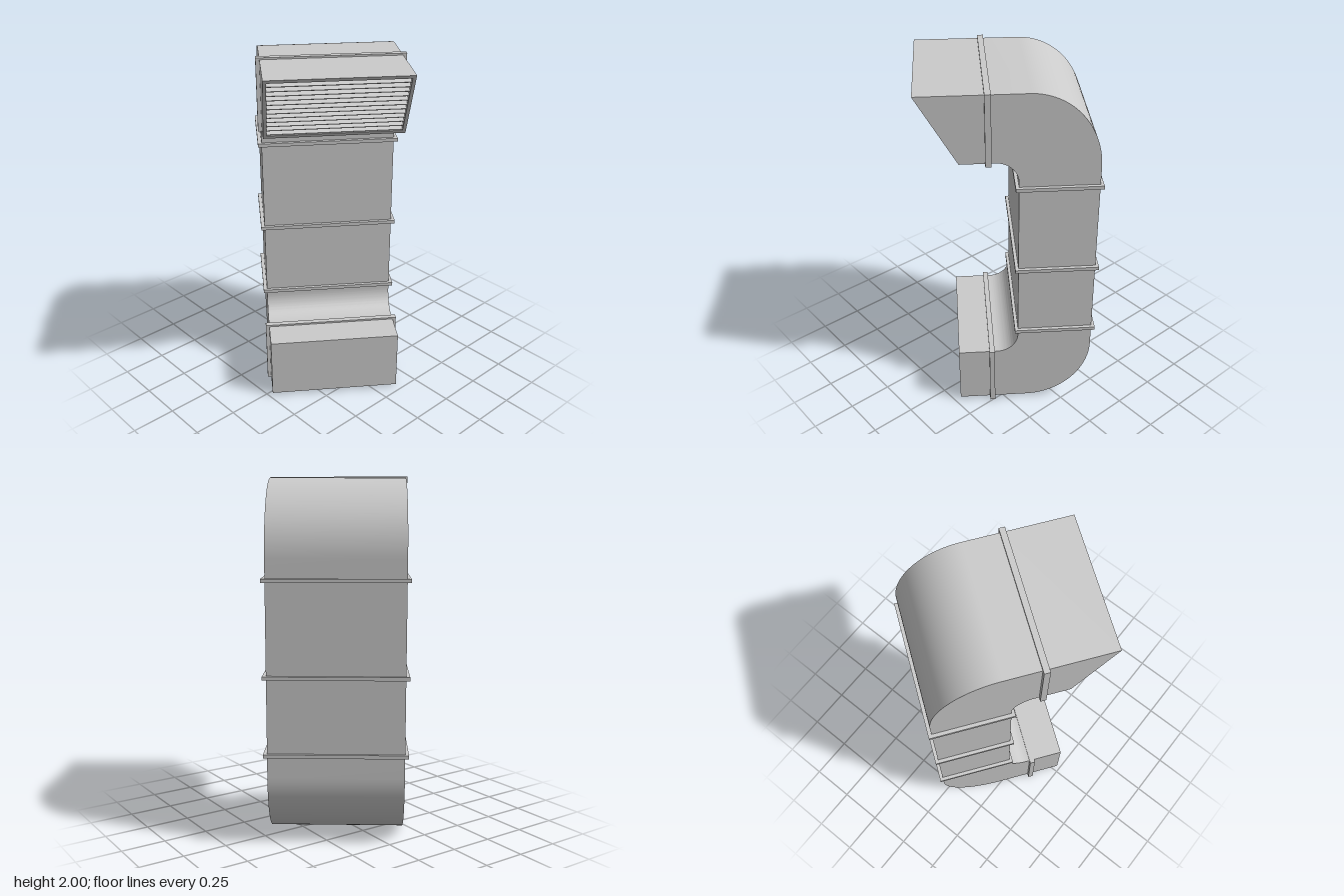
import * as THREE from 'three';
import { toCreasedNormals } from 'three/addons/utils/BufferGeometryUtils.js';

const W = 0.74;              // duct width
const BACK = -0.457, FRONT = -0.035; // depth of the vertical run
const TOP = 1.99, TOP_IN = 1.615, LOW = 0.015, LOW_IN = 0.365;

export function createModel() {
  const duct = new THREE.Group();
  duct.name = 'ventDuct';
  const mat = new THREE.MeshStandardMaterial({ color: 0xcccccc });

  const add = (name, geo) => {
    const mesh = new THREE.Mesh(geo, mat);
    mesh.name = name;
    duct.add(mesh);
    return mesh;
  };
  const box = (name, x0, x1, y0, y1, z0, z1) =>
    add(name, new THREE.BoxGeometry(x1 - x0, y1 - y0, z1 - z0))
      .position.set((x0 + x1) / 2, (y0 + y1) / 2, (z0 + z1) / 2);

  // Side profile (z, y) extruded across x
  const sideExtrude = (name, shape, width, cx = 0) => {
    const geo = new THREE.ExtrudeGeometry(shape, { depth: width, bevelEnabled: false, curveSegments: 16 });
    geo.rotateY(-Math.PI / 2);
    geo.translate(width / 2 + cx, 0, 0);
    add(name, toCreasedNormals(geo, 0.5));
  };
  const polygon = (pts) => new THREE.Shape(pts.map(([z, y]) => new THREE.Vector2(z, y)));

  // Elbow turning from the vertical run to the front
  const elbow = (name, joinY, outY, inY, ry) => {
    const s = Math.sign(outY - joinY), up = s > 0, rz = 0.37, ri = 0.12;
    const quarter = up ? Math.PI / 2 : Math.PI * 1.5;
    const shape = new THREE.Shape();
    shape.moveTo(BACK, joinY);
    shape.lineTo(BACK, outY - s * ry);
    shape.absellipse(BACK + rz, outY - s * ry, rz, ry, Math.PI, quarter, up);
    shape.lineTo(0.12, outY);
    shape.lineTo(0.12, inY);
    shape.lineTo(FRONT + ri, inY);
    shape.absellipse(FRONT + ri, inY - s * ri, ri, ri, quarter, Math.PI, !up);
    shape.lineTo(FRONT, joinY);
    sideExtrude(name, shape, W);
  };
  elbow('topElbow', 1.46, TOP, TOP_IN, 0.42);
  elbow('bottomElbow', 0.52, LOW, LOW_IN, 0.38);

  // Vertical run with joint flanges
  box('lowerDuct', -W / 2, W / 2, 0.52, 0.945, BACK, FRONT);
  box('upperDuct', -W / 2, W / 2, 0.945, 1.46, BACK, FRONT);
  for (const y of [0.52, 0.945, 1.46])
    box('jointFlange', -0.39, 0.39, y - 0.01, y + 0.01, BACK - 0.018, FRONT + 0.018);

  // Flanges at the outlets
  box('topOutletFlange', -0.39, 0.39, TOP_IN - 0.01, 2, 0.105, 0.137);
  box('bottomOutletFlange', -0.39, 0.39, 0, LOW_IN + 0.01, 0.1, 0.13);

  // Closed bottom outlet
  box('bottomOutlet', -W / 2, W / 2, LOW, LOW_IN, 0.12, 0.307);

  // Hollow slanted hood
  const slant = (y) => 0.27 + (y - TOP_IN) * 0.568;
  const band = (y0, y1) => polygon([[0.12, y0], [slant(y0), y0], [slant(y1), y1], [0.12, y1]]);
  const wall = 0.018;
  for (const side of [-1, 1])
    sideExtrude('hoodSide', band(TOP_IN, TOP), wall, side * (W - wall) / 2);
  sideExtrude('hoodTop', band(TOP - wall, TOP), W - 2 * wall);
  sideExtrude('hoodBottom', band(TOP_IN, TOP_IN + wall), W - 2 * wall);

  // Louvre slats sloping outward and down
  const slats = 12;
  for (let i = 0; i < slats; i++) {
    const y = TOP_IN + wall + (i + 0.5) * (TOP - TOP_IN - 2 * wall) / slats;
    const slat = add('louvreSlat', new THREE.BoxGeometry(W - 2 * wall, 0.005, 0.04));
    slat.position.set(0, y, slant(y) - 0.03);
    slat.rotation.x = 0.6;
  }

  // The whole duct stands turned about the vertical axis
  duct.rotation.y = THREE.MathUtils.degToRad(54);
  const model = new THREE.Group();
  model.name = 'model';
  model.add(duct);
  return model;
}
